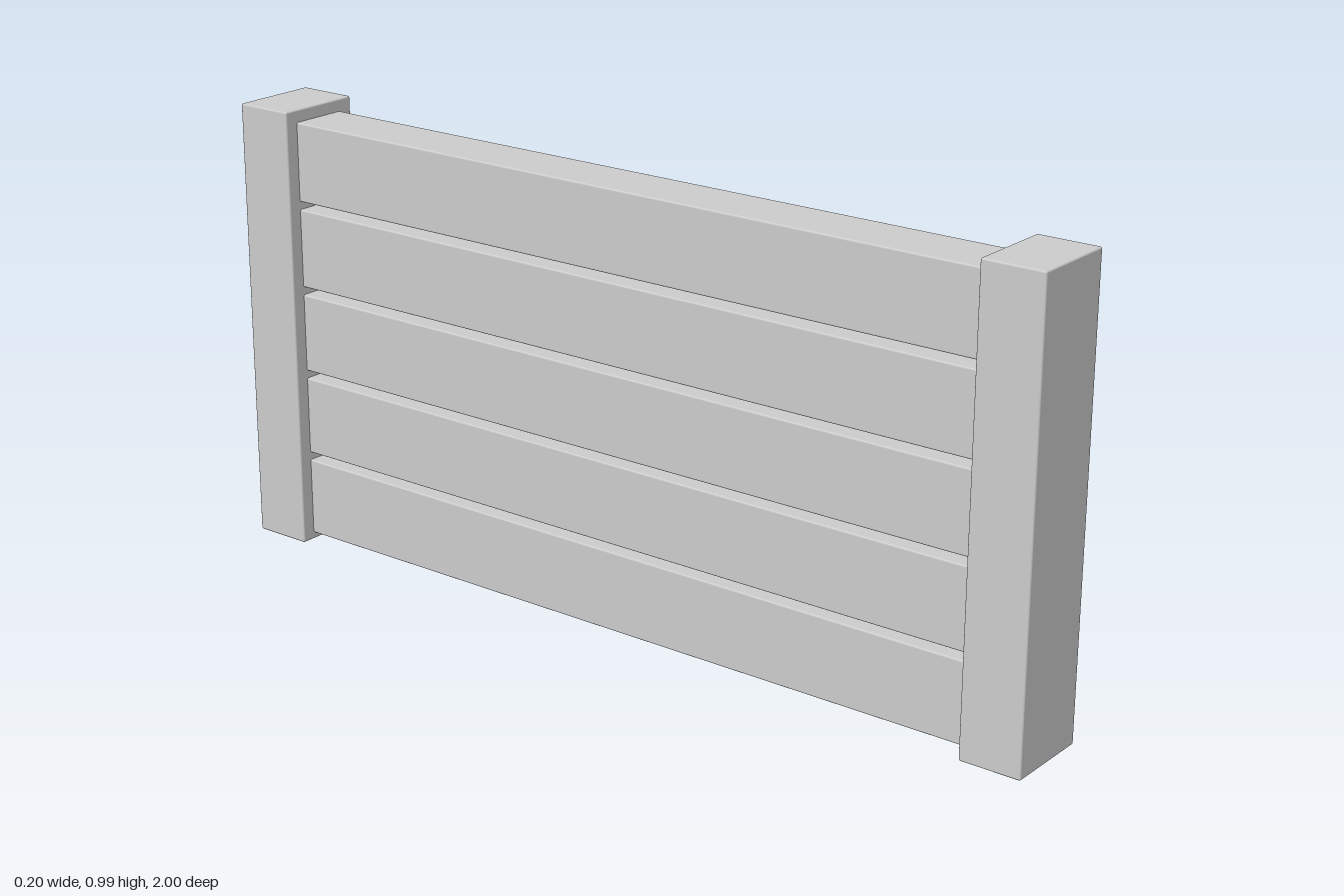
import * as THREE from 'three';
import { RoundedBoxGeometry } from 'three/addons/geometries/RoundedBoxGeometry.js';

const WIDTH = 0.197, HEIGHT = 0.993, POST = 0.136;
const BEVEL = 0.004;

export function createModel() {
  const group = new THREE.Group();
  group.name = 'plankFence';
  const material = new THREE.MeshStandardMaterial({ color: 0xcccccc });

  const addBox = (name, w, h, d, y, z) => {
    const mesh = new THREE.Mesh(new RoundedBoxGeometry(w, h, d, 2, BEVEL), material);
    mesh.name = name;
    mesh.position.set(0, y, z);
    group.add(mesh);
  };

  // End posts
  for (const side of [1, -1]) {
    addBox(side > 0 ? 'frontPost' : 'backPost', WIDTH, HEIGHT, POST, HEIGHT / 2, side * (1 - POST / 2));
  }

  // Five stacked planks with narrow gaps, ends let slightly into the posts
  for (let i = 0; i < 5; i++) {
    addBox(`plank${i + 1}`, 0.134, 0.176, 1.74, 0.103 + i * 0.1935, 0);
  }
  return group;
}
